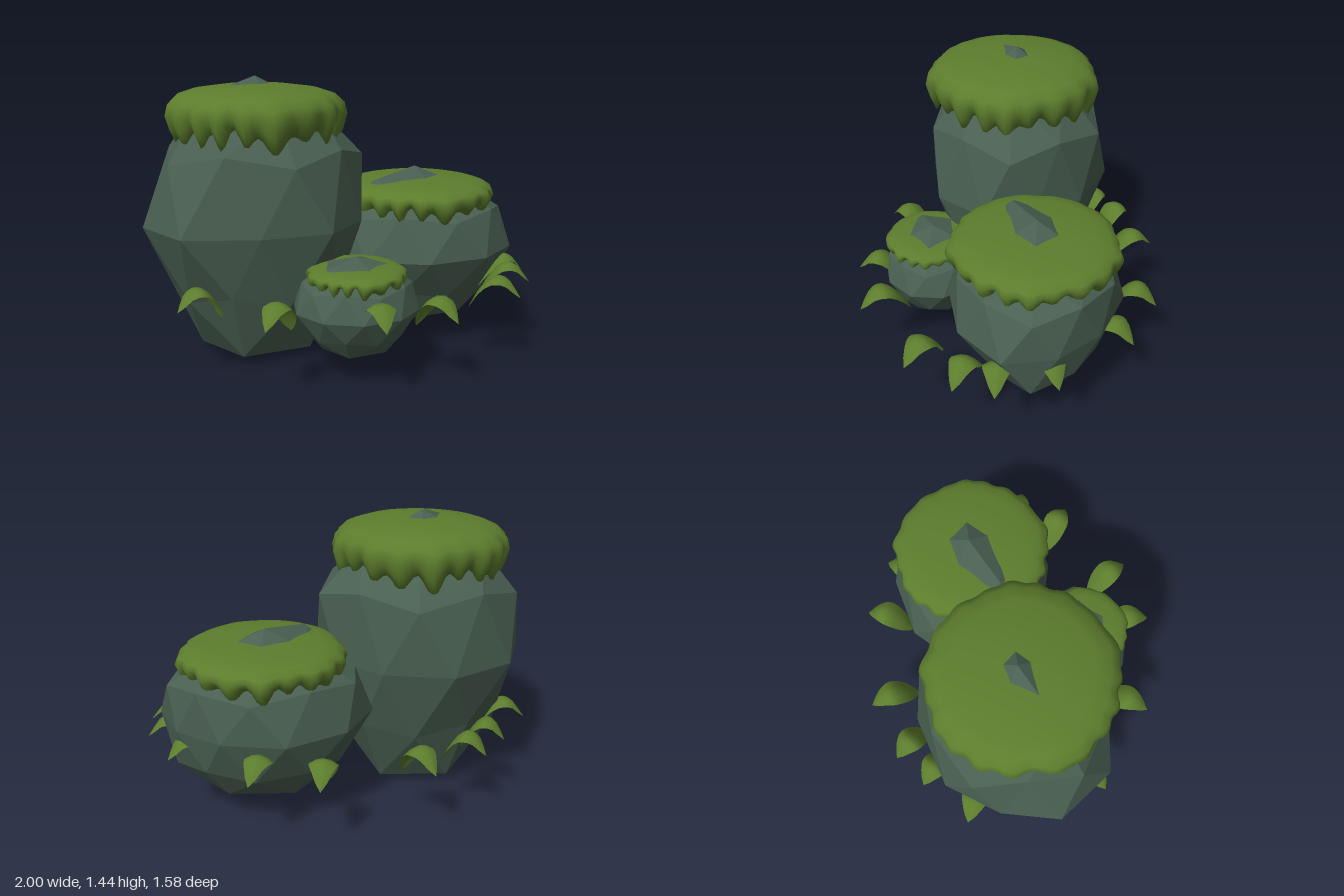
import * as THREE from 'three';
import { mergeVertices } from 'three/addons/utils/BufferGeometryUtils.js';

const stoneGrey = new THREE.MeshStandardMaterial({ color: 0x4a6052 });
const mossGreen = new THREE.MeshStandardMaterial({ color: 0x5d7d2d, side: THREE.DoubleSide });

// Faceted boulder: an icosphere with a vertex at its pole, its rings nudged by rule.
// dents: [azimuth in degrees, height on the unit sphere, factor on the distance from the axis]
function makeRock({ name, pos, radii, lower, base, ring, ridge, dents }) {
  const geo = new THREE.IcosahedronGeometry(1, 1);
  geo.rotateZ(Math.atan(2 / (1 + Math.sqrt(5))));
  geo.rotateY(Math.PI);
  const p = geo.attributes.position;
  for (let i = 0; i < p.count; i++) {
    const x = p.getX(i), y = p.getY(i), z = p.getZ(i);
    const azimuth = THREE.MathUtils.radToDeg(Math.atan2(z, x));
    const dent = dents.find(([a, h]) => Math.abs(h - y) < 0.03
      && Math.cos(THREE.MathUtils.degToRad(a - azimuth)) > 0.99);
    let s = 1, dy = 0;
    if (dent) s = dent[2];
    else if (y > -0.6 && y < -0.4) s = lower;                        // tapered lower half
    if (y > 0.8 && y < 0.9) dy = x < -0.3 && z > 0.2 ? ridge : ring; // ring below the tip
    if (y < -0.8 && y > -0.9) dy = -base;                            // flatter underside
    p.setXYZ(i, x * s * radii[0], (y + dy) * radii[1], z * s * radii[2]);
  }
  geo.computeVertexNormals(); // unindexed, so every facet is flat
  const mesh = new THREE.Mesh(geo, stoneGrey);
  mesh.name = name;
  mesh.position.set(...pos);
  return mesh;
}

// Moss cap: a lathed dome with a hanging, unevenly pleated skirt
function makeMoss({ name, x, z, top, radius, height, lobes, drip }) {
  const profile = [
    [0.8, 0.72], [0.9, 0.93], [0.96, 0.74], [1, 0.52],
    [0.97, 0.34], [0.88, 0.2], [0.72, 0.11], [0.4, 0.035], [0, 0],
  ].map(([r, d]) => new THREE.Vector2(r * radius, -d * height));
  let geo = new THREE.LatheGeometry(profile, lobes * 6);
  const p = geo.attributes.position;
  for (let i = 0; i < p.count; i++) {
    const px = p.getX(i), py = p.getY(i), pz = p.getZ(i);
    const a = Math.atan2(pz, px), w = -py / height;
    const q = Math.pow(Math.hypot(px, pz) / radius, 3);
    const pleat = Math.cos(lobes * a + 1.2 * Math.sin(3 * a)) * (0.75 + 0.25 * Math.sin(4 * a));
    const uneven = 0.5 * Math.sin(5 * a + 1) + 0.5 * Math.cos(9 * a);
    const s = 1 + q * (0.025 * pleat + 0.03 * uneven);
    const drop = w * w * (drip * pleat + 0.14 * uneven);
    p.setXYZ(i, px * s, py - height * drop, pz * s);
  }
  geo.deleteAttribute('uv');
  geo.deleteAttribute('normal');
  geo = mergeVertices(geo, 1e-4);
  geo.computeVertexNormals();
  const mesh = new THREE.Mesh(geo, mossGreen);
  mesh.name = name;
  mesh.position.set(x, top, z);
  return mesh;
}

// Arched leaf, pointed at both ends, growing along +x from its root
function makeLeafGeometry(length) {
  const arch = new THREE.CatmullRomCurve3([
    [0, 0.28], [0.2, 0.39], [0.48, 0.47], [0.7, 0.465], [1, 0.37],
  ].map(([t, y]) => new THREE.Vector3(t * length, y, 0)));
  const along = 10, across = 4;
  const geo = new THREE.PlaneGeometry(1, 1, along, across);
  const p = geo.attributes.position;
  for (let i = 0; i < p.count; i++) {
    const t = p.getX(i) + 0.5, v = -p.getY(i) * 2;
    const c = arch.getPoint(t);
    const half = 0.07 * Math.pow(Math.max(0, Math.sin(Math.PI * t)), 0.8);
    p.setXYZ(i, c.x, c.y - 0.45 * half * v * v, v * half);
  }
  geo.computeVertexNormals();
  return geo;
}

export function createModel() {
  const model = new THREE.Group();

  const rocks = [
    {
      name: 'tallRock', pos: [-0.43, 0.72, -0.02], radii: [0.585, 0.72, 0.48],
      lower: 0.88, base: 0.08, ring: -0.07, ridge: 0.035,
      dents: [
        [0, 0.447, 1.03], [72, 0.447, 1.05], [-72, 0.447, 1.08], [108, 0.526, 1.03], [-108, 0.526, 1.05],
        [180, 0.526, 0.87], [162, 0, 1.02], [-162, 0, 0.91],
        [18, 0, 0.93], [-18, 0, 0.87], [-54, 0, 0.93], [-90, 0, 1.04], [90, 0, 0.95], [126, 0, 1.08],
      ],
    },
    {
      name: 'mediumRock', pos: [0.42, 0.51, -0.17], radii: [0.535, 0.43, 0.43],
      lower: 0.88, base: 0, ring: -0.12, ridge: 0.05,
      dents: [
        [0, -0.526, 1], [36, -0.447, 0.84], [108, -0.447, 0.82], [72, -0.526, 0.84],
        [-18, 0, 0.9], [-54, 0, 0.9], [-108, -0.447, 0.93],
      ],
    },
    {
      name: 'smallRock', pos: [0.02, 0.36, 0.39], radii: [0.31, 0.25, 0.27],
      lower: 0.89, base: 0, ring: -0.02, ridge: 0.04, dents: [],
    },
  ];
  rocks.forEach((r) => model.add(makeRock(r)));

  const caps = [
    { name: 'tallRockMoss', x: -0.43, z: 0, top: 1.405, radius: 0.44, height: 0.26, lobes: 19, drip: 0.2 },
    { name: 'mediumRockMoss', x: 0.43, z: -0.16, top: 0.89, radius: 0.405, height: 0.16, lobes: 19, drip: 0.26 },
    { name: 'smallRockMoss', x: 0.02, z: 0.4, top: 0.578, radius: 0.24, height: 0.09, lobes: 17, drip: 0.42 },
  ];
  caps.forEach((c) => model.add(makeMoss(c)));

  // Ring of leaves: root x, root z, tip x, tip z
  const leaves = new THREE.Group();
  leaves.name = 'leaves';
  [
    [-0.165, -0.535, -0.235, -0.79], [-0.39, -0.5, -0.54, -0.675],
    [-0.53, -0.4, -0.7, -0.545], [-0.68, -0.22, -0.92, -0.33],
    [-0.62, 0.27, -0.83, 0.41], [-0.3, 0.465, -0.43, 0.7],
    [0.09, 0.53, 0.1, 0.79], [0.3, 0.48, 0.445, 0.71],
    [0.615, 0.275, 0.84, 0.42], [0.72, 0.09, 0.97, 0.18],
    [0.74, -0.02, 1, -0.015], [0.69, -0.21, 0.93, -0.3],
    [0.46, -0.44, 0.61, -0.65], [0.215, -0.54, 0.31, -0.78],
  ].forEach(([x0, z0, x1, z1]) => {
    const leaf = new THREE.Mesh(makeLeafGeometry(Math.hypot(x1 - x0, z1 - z0)), mossGreen);
    leaf.name = 'leaf';
    leaf.position.set(x0, 0, z0);
    leaf.rotation.y = -Math.atan2(z1 - z0, x1 - x0);
    leaves.add(leaf);
  });
  model.add(leaves);

  return model;
}
